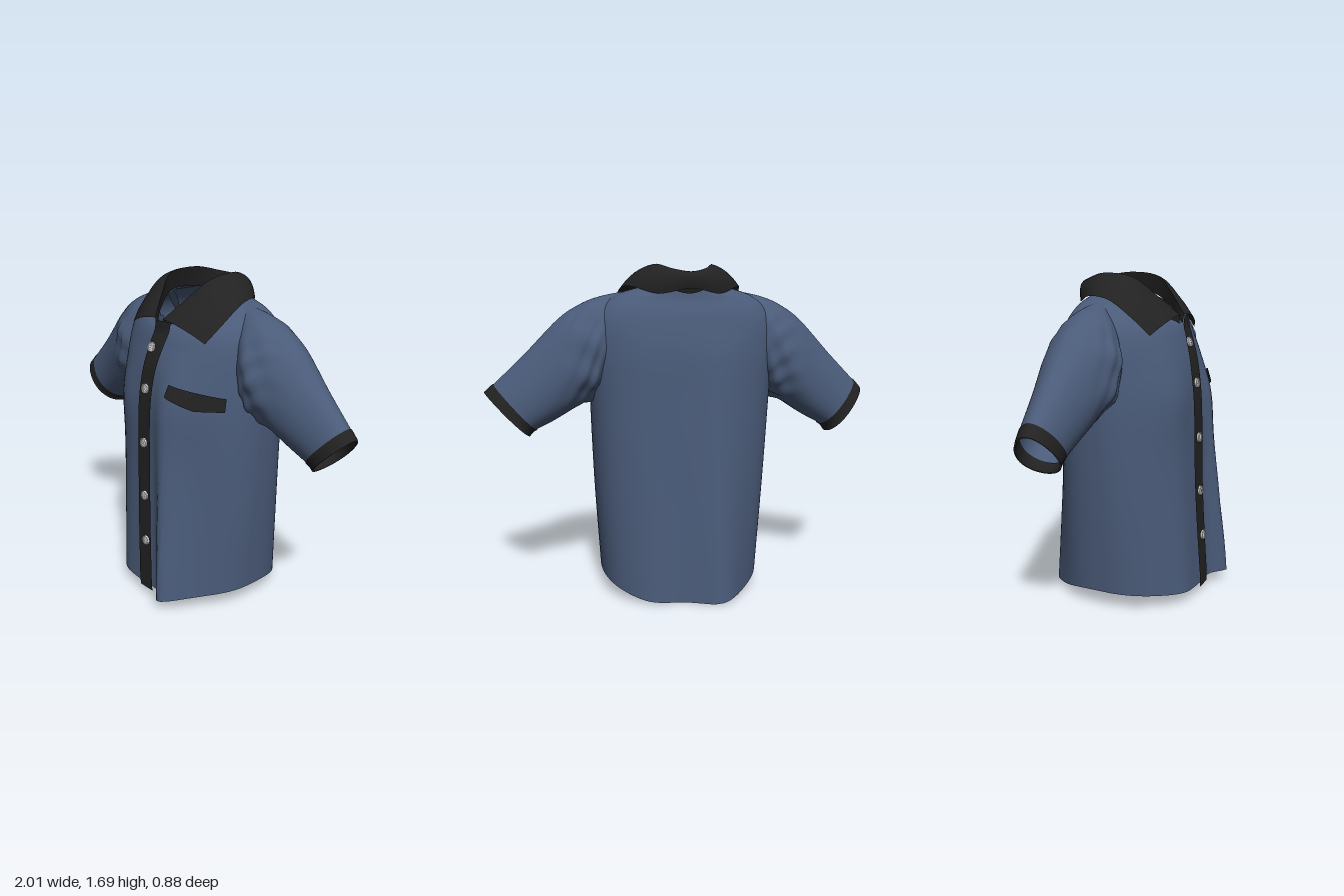
import * as THREE from 'three';

const cloth = (name, color) => {
  const m = new THREE.MeshStandardMaterial({ color, side: THREE.DoubleSide });
  m.name = name;
  return m;
};

// Smoothly interpolates rows of numbers, t in 0..1
function sampleRows(rows, t) {
  const n = rows.length - 1, i = Math.min(Math.floor(t * n), n - 1), f = t * n - i;
  const at = k => rows[Math.max(0, Math.min(n, k))];
  return rows[0].map((_, c) => {
    const a = at(i - 1)[c], b = at(i)[c], d = at(i + 1)[c], e = at(i + 2)[c];
    const m0 = (d - a) / 2, m1 = (e - b) / 2;
    return b + f * (m0 + f * (3 * (d - b) - 2 * m0 - m1 + f * (2 * (b - d) + m0 + m1)));
  });
}

// Surface from a rule point(u, v); closed joins u = 1 back to u = 0; cut(x, y, z) leaves holes
function surface(point, nu, nv, closed = false, cut = () => false) {
  const pos = [], idx = [], w = closed ? nu : nu + 1;
  for (let j = 0; j <= nv; j++)
    for (let i = 0; i < w; i++) pos.push(...point(i / nu, j / nv));
  for (let j = 0; j < nv; j++)
    for (let i = 0; i < nu; i++) {
      const a = j * w + i, b = j * w + (i + 1) % w, c = a + w, d = b + w;
      if (!cut(pos[a * 3], pos[a * 3 + 1], pos[a * 3 + 2])) idx.push(a, c, b, b, c, d);
    }
  const g = new THREE.BufferGeometry();
  g.setAttribute('position', new THREE.Float32BufferAttribute(pos, 3));
  g.setIndex(idx);
  g.computeVertexNormals();
  return g;
}

const spow = (v, p) => Math.sign(v) * Math.abs(v) ** p;
const bell = (x, w) => Math.exp(-(x * x) / (w * w));

// half width, front z, back z, side y, front y, back y, side z
const TORSO = [
  [0.415, 0.36, -0.37, 0.09, 0.06, 0.0, 0],
  [0.447, 0.335, -0.35, 0.55, 0.55, 0.53, 0],
  [0.468, 0.32, -0.335, 1.0, 0.98, 1.0, -0.02],
  [0.472, 0.295, -0.325, 1.25, 1.22, 1.25, -0.06],
  [0.455, 0.26, -0.295, 1.42, 1.36, 1.42, -0.08],
  [0.36, 0.238, -0.26, 1.525, 1.42, 1.51, -0.09],
  [0.19, 0.222, -0.25, 1.58, 1.44, 1.56, -0.09],
];

function torsoPoint(u, v) {
  const [rx, zf, zb, ys, yf, yb, zc] = sampleRows(TORSO, v);
  const a = -u * Math.PI * 2, c = Math.cos(a), s = Math.sin(a);
  const power = s > 0 ? 1 + 0.15 * v : 0.74;
  const y = ys + ((s > 0 ? yf : yb) - ys) * s * s;
  const fade = Math.max(0, 1 - y / 1.35);
  const x = rx * spow(c, power) + 0.015 * fade;
  let z = zc + ((s > 0 ? zf : zc * 2 - zb) - zc) * spow(s, power);
  // Hanging folds that widen toward the hem, and fullness at the chest
  if (s > 0) {
    const fold = x - 0.22 + 0.07 * y;
    z += fade * s * (0.14 * bell(fold, fold < 0 ? 0.07 : 0.1) + 0.03 * bell(x + 0.2, 0.1));
    z += 0.025 * s * bell(y - 1.08, 0.17) * (bell(x - 0.22, 0.12) + bell(x + 0.22, 0.12));
  } else z -= fade * -s * (-0.085 * -bell(x + 0.15, 0.13) + 0.02 * bell(x - 0.22, 0.09));
  return [x, y, z];
}

// upper x, upper y, lower x, lower y, front z, back z
const SLEEVE = [
  [0.3, 1.55, 0.37, 1.14, 0.02, -0.18],
  [0.42, 1.525, 0.41, 1.07, 0.1, -0.24],
  [0.52, 1.485, 0.46, 1.02, 0.12, -0.255],
  [0.63, 1.41, 0.55, 0.97, 0.09, -0.24],
  [0.8, 1.235, 0.66, 0.905, 0.055, -0.21],
  [0.967, 1.073, 0.757, 0.855, 0.035, -0.185],
  [1.0, 1.04, 0.785, 0.825, 0.035, -0.185],
];

function sleevePoint(side, grow, u, v) {
  const [tx, ty, bx, by, zf, zb] = sampleRows(SLEEVE, v);
  const a = -side * u * Math.PI * 2, c = Math.cos(a), s = -side * Math.sin(a);
  // Puckers gathered around the armhole
  const pucker = bell(v - 0.33, 0.16) * (0.035 * Math.sin(7 * a + 16 * v) + 0.03 * Math.sin(11 * a - 34 * v));
  const k = grow + pucker * (c > 0 ? 1 - c * c : 1);
  // The opening narrows and leans forward toward its upper edge
  const depth = k * (1 - 0.24 * c * v);
  return [
    side * ((tx + bx) / 2 + (tx - bx) / 2 * c * k),
    (ty + by) / 2 + (ty - by) / 2 * c * k + side * 0.013 * v * v,
    (zf + zb) / 2 + side * (zf - zb) / 2 * s * side * depth + 0.03 * c * v * v,
  ];
}

// Collar half lines, from front to centre back
const NECK_EDGE = [[0.02, 1.43, 0.225], [0.11, 1.5, 0.13], [0.18, 1.57, 0.0], [0.17, 1.58, -0.14], [0.09, 1.56, -0.24], [0, 1.54, -0.265]];
const CREST = [[0.03, 1.48, 0.23], [0.09, 1.57, 0.14], [0.15, 1.665, 0.03], [0.14, 1.685, -0.13], [0.08, 1.66, -0.25], [0, 1.645, -0.3]];
const FALL_EDGE = [[0.285, 1.395, 0.185], [0.315, 1.48, 0.1], [0.315, 1.56, -0.02], [0.27, 1.575, -0.15], [0.15, 1.54, -0.268], [0, 1.565, -0.33]];
const wholeLine = half => [...half, ...half.slice(0, -1).reverse().map(([x, y, z]) => [-x, y, z])];

function collarPart(from, to, bulge) {
  const A = wholeLine(from), B = wholeLine(to);
  return surface((u, v) => {
    const a = sampleRows(A, u), b = sampleRows(B, u), h = bulge * 4 * v * (1 - v);
    const p = a.map((n, i) => n + (b[i] - n) * v);
    return [p[0] * (1 + h), p[1] + h, p[2] + h * THREE.MathUtils.clamp((p[2] + 0.1) * 8, -1, 1)];
  }, 60, 8);
}

export function createModel() {
  const group = new THREE.Group();
  const blue = cloth('blue cloth', 0x4a5b79);
  const black = cloth('black trim', 0x222222);
  const pearl = cloth('button', 0xe4e4e4);
  const grey = cloth('button recess', 0x8a8a8c);
  const add = (name, geometry, material, parent = group) => {
    const m = new THREE.Mesh(geometry, material);
    m.name = name;
    parent.add(m);
    return m;
  };

  // Body with armholes
  const armhole = (x, y, z) => Math.abs(x) > 0.36 && Math.hypot((y - 1.26) / 0.15, (z + 0.075) / 0.12) < 1;
  const torso = add('torso', surface(torsoPoint, 96, 60, true, armhole), blue);
  torso.updateMatrixWorld();

  // Sleeves with cuffs, trimmed where they meet the body
  const insideBody = (x, y) => Math.abs(x) < 0.4 && y < 1.36;
  for (const side of [1, -1]) {
    const label = side > 0 ? 'left' : 'right';
    add(label + 'Sleeve', surface((u, v) => sleevePoint(side, 1, u, v * 0.98), 72, 56, true, insideBody), blue);
    add(label + 'Cuff', surface((u, v) => sleevePoint(side, 1.025, u, 0.815 + 0.185 * v), 48, 5, true), black);
    add(label + 'CuffLining', surface((u, v) => sleevePoint(side, 0.975, u, 0.815 + 0.185 * v), 48, 5, true), black);
  }

  // Collar: inner stand and folded-down fall
  add('collarStand', collarPart(NECK_EDGE, CREST, 0), black);
  add('collarFall', collarPart(CREST, FALL_EDGE, 0.02), black);

  // Finds the cloth height on the chest so trim can lie on it
  const ray = new THREE.Raycaster();
  const frontZ = (x, y) => {
    ray.set(new THREE.Vector3(x, THREE.MathUtils.clamp(y, 0.1, 1.42), 2), new THREE.Vector3(0, 0, -1));
    const hit = ray.intersectObject(torso)[0];
    return hit && hit.point.z > 0 ? hit.point.z : 0.225;
  };
  const drape = (outline, nu, nv, lift) => surface((u, v) => {
    const [x, y] = outline(u, v);
    return [x, y, frontZ(x, y) + lift];
  }, nu, nv);

  // Button placket: centre x, y
  const MIDLINE = [[0.045, 1.475], [0, 1.2], [-0.008, 0.82], [0, 0.45], [0.025, 0.04]];
  add('placket', drape((u, v) => {
    const [x, y] = sampleRows(MIDLINE, v);
    return [x + (u - 0.5) * 0.1, y];
  }, 6, 50, 0.008), black);

  // Pocket flap with a pointed lower edge
  const LOWER = [[0.155, 1.135], [0.29, 1.08], [0.4, 1.08]];
  add('pocketFlap', drape((u, v) => {
    const k = u * 2, i = Math.min(1, Math.floor(k)), f = k - i;
    const lx = LOWER[i][0] + (LOWER[i + 1][0] - LOWER[i][0]) * f;
    const ly = LOWER[i][1] + (LOWER[i + 1][1] - LOWER[i][1]) * f;
    const tx = 0.165 + 0.235 * u, ty = 1.195 - 0.05 * u;
    return [tx + (lx - tx) * v, ty + (ly - ty) * v];
  }, 16, 6, 0.012), black);

  // Buttons
  for (const [x, y] of [[-0.006, 1.345], [-0.006, 1.14], [-0.006, 0.857], [0.003, 0.57], [0.02, 0.32]]) {
    const button = new THREE.Group();
    button.name = 'button';
    button.position.set(x, y, frontZ(x, y) + 0.012);
    button.rotation.x = -Math.atan2(frontZ(x, y - 0.04) - frontZ(x, y + 0.04), 0.08);
    add('buttonDisc', new THREE.CylinderGeometry(0.025, 0.025, 0.008, 20).rotateX(Math.PI / 2), pearl, button);
    add('buttonRim', new THREE.TorusGeometry(0.022, 0.004, 6, 20).translate(0, 0, 0.003), pearl, button);
    add('buttonRecess', new THREE.RingGeometry(0.012, 0.015, 20).translate(0, 0, 0.005), grey, button);
    for (let i = 0; i < 4; i++) {
      const a = Math.PI / 4 + i * Math.PI / 2;
      add('buttonHole', new THREE.CircleGeometry(0.003, 8).translate(0.006 * Math.cos(a), 0.006 * Math.sin(a), 0.005), black, button);
    }
    group.add(button);
  }
  return group;
}
